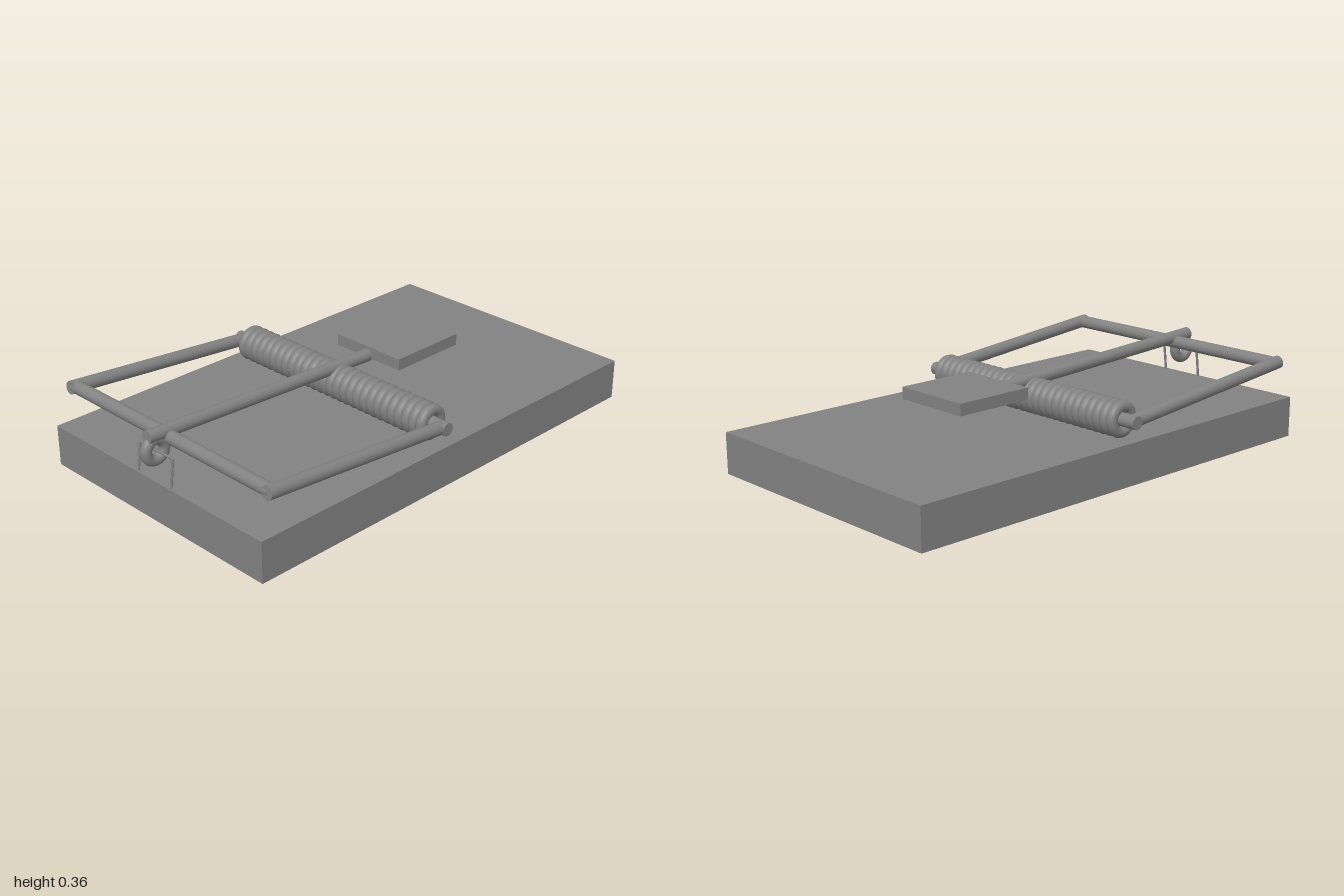
import * as THREE from 'three';

const V = (x, y, z) => new THREE.Vector3(x, y, z);

export function createModel() {
  const group = new THREE.Group();
  const material = new THREE.MeshStandardMaterial({ color: 0x828282 });

  function add(name, geometry, x = 0, y = 0, z = 0) {
    const mesh = new THREE.Mesh(geometry, material);
    mesh.name = name;
    mesh.position.set(x, y, z);
    group.add(mesh);
    return mesh;
  }

  // Straight round bar between two points
  function bar(name, a, b, radius, sides = 20) {
    const dir = b.clone().sub(a);
    const mesh = add(name, new THREE.CylinderGeometry(radius, radius, dir.length(), sides));
    mesh.position.copy(a).add(b).multiplyScalar(0.5);
    mesh.quaternion.setFromUnitVectors(V(0, 1, 0), dir.normalize());
  }

  // Wooden base and bait plate
  add('base', new THREE.BoxGeometry(1.152, 0.166, 1.96), 0, 0.083, -0.02);
  add('baitPlate', new THREE.BoxGeometry(0.335, 0.048, 0.338), -0.001, 0.302, -0.303);

  // Tightly wound spring: a row of overlapping coils around the axle
  const axleY = 0.237, axleZ = 0.036, coils = 28;
  const coilGeometry = new THREE.TorusGeometry(0.05, 0.0225, 12, 36);
  for (let i = 0; i < coils; i++) {
    const x = THREE.MathUtils.lerp(-0.493, 0.488, i / (coils - 1));
    add('springCoil', coilGeometry, x, axleY, axleZ).rotation.y = Math.PI / 2;
  }

  // Axle and snapping frame
  const r = 0.0265, armX = 0.547, frontY = 0.316, frontZ = 0.881;
  bar('axle', V(-0.576, axleY, axleZ), V(0.576, axleY, axleZ), r);
  for (const s of [-1, 1]) {
    bar('frameArm', V(s * armX, axleY, axleZ), V(s * armX, frontY + 0.002, frontZ + 0.024), r);
  }
  bar('frameFrontBar', V(-armX, frontY, frontZ), V(armX, frontY, frontZ), r);

  // Holding rod with its ring hook
  const rodX = -0.005;
  bar('holdingRod', V(rodX, 0.288, -0.137), V(rodX, 0.338, 0.97), 0.026);
  add('rodHook', new THREE.TorusGeometry(0.041, 0.022, 14, 32), rodX, 0.278, 0.936).rotation.y = Math.PI / 2;

  // Thin wire staple passing through the hook
  const corners = [V(-0.092, 0.155, 0.951), V(-0.092, 0.278, 0.935), V(0.092, 0.278, 0.935), V(0.092, 0.155, 0.951)];
  corners.slice(1).forEach((p, i) => bar('staple', corners[i], p, 0.005, 8));
  for (const p of corners.slice(1, 3)) add('stapleCorner', new THREE.SphereGeometry(0.005, 8, 6), p.x, p.y, p.z);

  return group;
}
